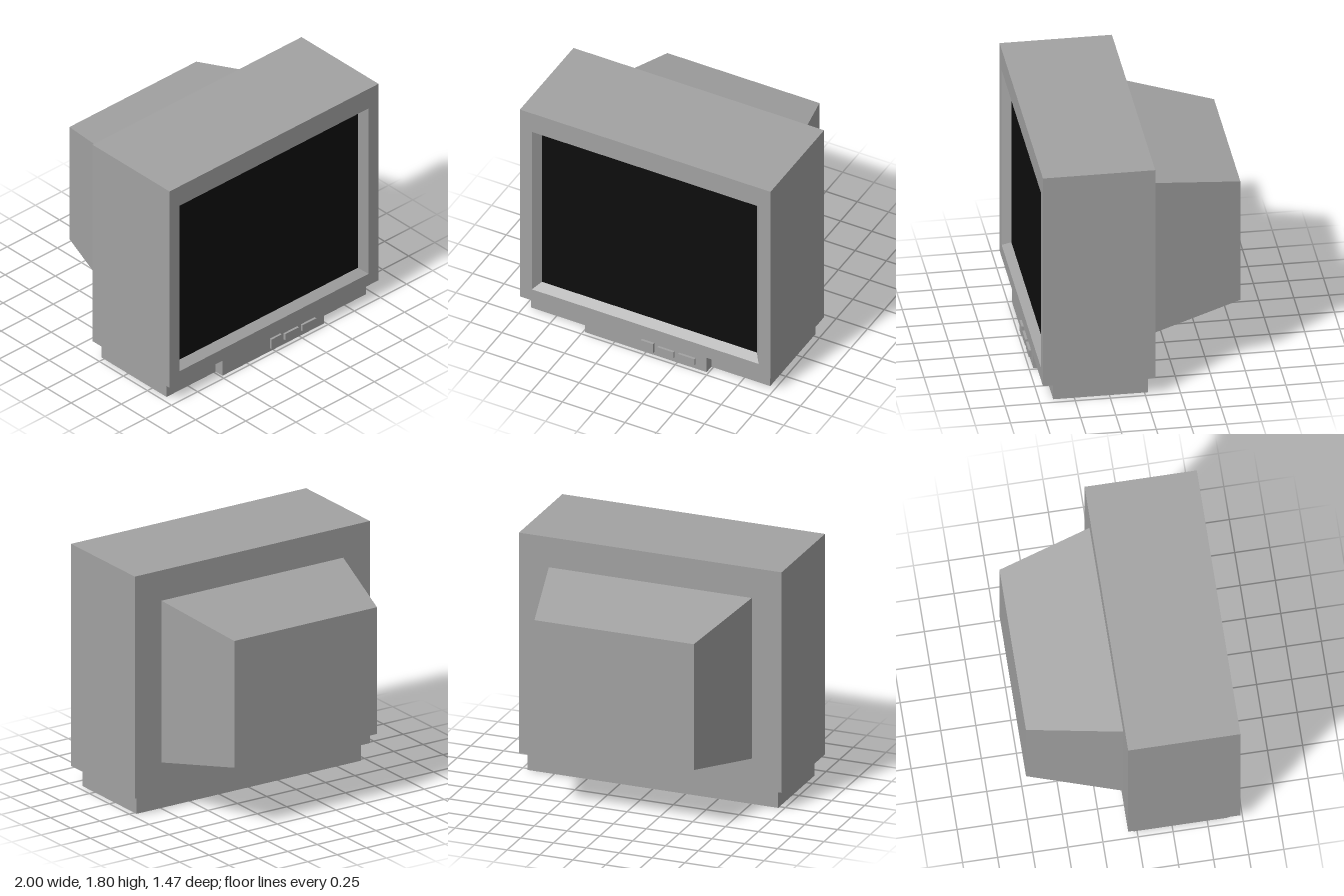
import * as THREE from 'three';

const casing = new THREE.MeshStandardMaterial({ name: 'greyPlastic', color: 0xa2a2a2 });
const glass = new THREE.MeshStandardMaterial({ name: 'blackScreen', color: 0x0d0d0d });

// Corners of a rectangle, anticlockwise as seen from the front
const corners = ([hw, y0, y1, z]) => [[-hw, y0, z], [hw, y0, z], [hw, y1, z], [-hw, y1, z]];

// Joins rectangular sections [halfWidth, bottom, top, z] with flat faces and closes the back
function loft(name, sections) {
  const rings = sections.map(corners);
  const pos = [];
  const quad = (a, b, c, d) => pos.push(...a, ...b, ...c, ...a, ...c, ...d);
  const [p, q, r, s] = rings[0];
  quad(s, r, q, p);
  for (let k = 0; k < rings.length - 1; k++) {
    for (let i = 0; i < 4; i++) {
      const j = (i + 1) % 4;
      quad(rings[k][i], rings[k][j], rings[k + 1][j], rings[k + 1][i]);
    }
  }
  const geo = new THREE.BufferGeometry();
  geo.setAttribute('position', new THREE.Float32BufferAttribute(pos, 3));
  geo.computeVertexNormals();
  const mesh = new THREE.Mesh(geo, casing);
  mesh.name = name;
  return mesh;
}

// Box given by its limits
function block(name, x0, x1, y0, y1, z0, z1) {
  const mesh = new THREE.Mesh(new THREE.BoxGeometry(x1 - x0, y1 - y0, z1 - z0), casing);
  mesh.position.set((x0 + x1) / 2, (y0 + y1) / 2, (z0 + z1) / 2);
  mesh.name = name;
  return mesh;
}

export function createModel() {
  const model = new THREE.Group();
  model.name = 'monitor';

  // Case with a bevelled recess around the screen
  model.add(loft('case', [
    [1, 0.137, 1.805, -0.07],
    [1, 0.137, 1.805, 0.73],
    [0.905, 0.235, 1.64, 0.73],
    [0.858, 0.277, 1.595, 0.668],
  ]));

  // Screen
  const screen = new THREE.Mesh(new THREE.PlaneGeometry(1.716, 1.318), glass);
  screen.position.set(0, 0.936, 0.668);
  screen.name = 'screen';
  model.add(screen);

  // Tapered tube housing at the back
  model.add(loft('tubeHousing', [
    [0.607, 0.493, 1.445, -0.737],
    [0.773, 0.362, 1.577, -0.07],
  ]));

  // Base and its protruding control panel
  model.add(block('base', -0.955, 0.955, 0, 0.137, -0.025, 0.65));
  model.add(block('controlPanel', -0.485, 0.485, 0, 0.137, 0.65, 0.72));

  // Power button and two adjustment buttons
  model.add(block('powerButton', -0.032, 0.067, 0.028, 0.108, 0.72, 0.738));
  [[0.1, 0.23], [0.265, 0.398]].forEach(([x0, x1]) =>
    model.add(block('adjustButton', x0, x1, 0.043, 0.094, 0.72, 0.738)));

  return model;
}
